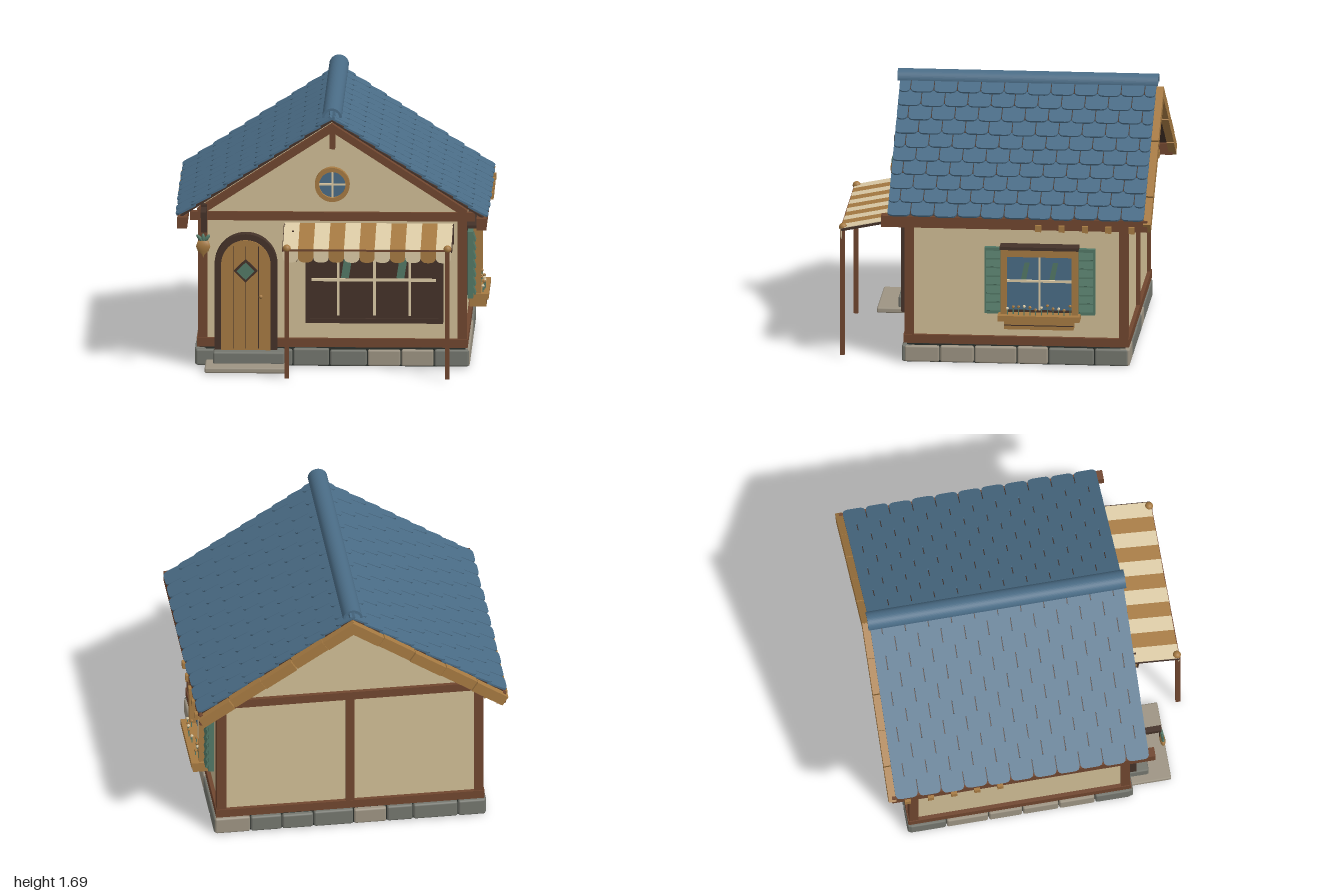
import * as THREE from 'three';
import { RoundedBoxGeometry } from 'three/addons/geometries/RoundedBoxGeometry.js';
import { mergeGeometries } from 'three/addons/utils/BufferGeometryUtils.js';

const mat = (name, color, side = THREE.FrontSide) => {
  const m = new THREE.MeshStandardMaterial({ color, side });
  m.name = name;
  return m;
};
const M = {
  plaster: mat('plaster', 0xd0bd95), beam: mat('brown beam', 0x70462f), wood: mat('golden wood', 0xa67a42),
  dark: mat('dark wood', 0x443229), stone: mat('grey stone', 0x74766e), pale: mat('pale stone', 0x9d9483),
  blue: mat('slate blue', 0x4a6c86), green: mat('green', 0x527866), cream: mat('cream', 0xdccba6),
  base: mat('charcoal', 0x2a2f2b),
};
const SLOPE = Math.atan(0.65), C = Math.cos(SLOPE), S = Math.sin(SLOPE);
const ROOF_Z = -0.14, ROOF_LEN = 1.63;

let seed = 7;
const rnd = () => (seed = (seed * 16807) % 2147483647) / 2147483647;

function add(parent, name, geo, m, x = 0, y = 0, z = 0) {
  const mesh = new THREE.Mesh(geo, m);
  mesh.name = name;
  mesh.position.set(x, y, z);
  parent.add(mesh);
  return mesh;
}
// box given by its min and max on each axis
const box = (p, name, m, x0, x1, y0, y1, z0, z1) =>
  add(p, name, new THREE.BoxGeometry(x1 - x0, y1 - y0, z1 - z0), m, (x0 + x1) / 2, (y0 + y1) / 2, (z0 + z1) / 2);
const extrude = (shape, depth, curveSegments = 12) =>
  new THREE.ExtrudeGeometry(shape, { depth, bevelEnabled: false, curveSegments });
const poly = pts => new THREE.Shape(pts.map(p => new THREE.Vector2(...p)));
const group = (parent, name) => {
  const g = new THREE.Group();
  g.name = name;
  parent.add(g);
  return g;
};
// board lying along a roof slope, its top edge falling from the given apex height
function slopeBoard(p, name, m, side, from, len, thick, apex, z0, z1) {
  const s = from + len / 2;
  const b = add(p, name, new THREE.BoxGeometry(len, thick, z1 - z0), m,
    side * (s * C - thick / 2 * S), apex - s * S - thick / 2 * C, (z0 + z1) / 2);
  b.rotation.z = -side * SLOPE;
}
const archShape = (r, spring, bottom) => {
  const s = new THREE.Shape();
  s.moveTo(-r, bottom);
  s.lineTo(r, bottom);
  s.lineTo(r, spring);
  s.absarc(0, spring, r, 0, Math.PI, false);
  return s;
};

function foundation(root) {
  const g = group(root, 'foundation');
  box(g, 'foundationCore', M.base, -0.84, 0.84, 0.005, 0.125, -0.825, 0.56);
  const row = (len, place) => {
    const n = Math.round(len / 0.22), cuts = [0];
    for (let i = 1; i < n; i++) cuts.push((i + (rnd() - 0.5) * 0.35) * len / n);
    cuts.push(len);
    for (let i = 0; i < n; i++) {
      const w = cuts[i + 1] - cuts[i], h = 0.1 + rnd() * 0.012;
      const st = add(g, 'foundationStone', new RoundedBoxGeometry(w - 0.006, h, 0.07, 1, 0.012), rnd() < 0.4 ? M.pale : M.stone);
      place(st, (cuts[i] + cuts[i + 1]) / 2 - len / 2, 0.01 + h / 2);
    }
  };
  for (const s of [-1, 1]) {
    row(1.73, (st, u, y) => st.position.set(u, y, s > 0 ? 0.555 : -0.82));
    row(1.42, (st, u, y) => { st.position.set(s * 0.833, y, u - 0.135); st.rotation.y = Math.PI / 2; });
  }
  add(g, 'upperStep', new RoundedBoxGeometry(0.45, 0.08, 0.15, 1, 0.012), M.stone, -0.525, 0.08, 0.635);
  add(g, 'lowerStep', new RoundedBoxGeometry(0.52, 0.035, 0.28, 1, 0.01), M.pale, -0.54, 0.03, 0.705);
}

function walls(root) {
  const g = group(root, 'walls');
  add(g, 'plasterWalls', extrude(poly([[-0.83, 0.12], [0.83, 0.12], [0.83, 1], [0, 1.54], [-0.83, 1]]), 1.38), M.plaster, 0, 0, -0.825);
  for (const s of [-1, 1]) {
    for (const z of [-0.815, 0.543]) box(g, 'cornerPost', M.beam, s * 0.82 - 0.03, s * 0.82 + 0.03, 0.13, 1, z - 0.029, z + 0.029);
    box(g, 'sideSill', M.beam, s * 0.82 - 0.035, s * 0.82 + 0.035, 0.13, 0.185, -0.845, 0.575);
    box(g, 'sideTopBeam', M.beam, s * 0.82 - 0.025, s * 0.82 + 0.025, 0.94, 1, -0.845, 0.575);
    for (const [z0, z1] of [[0.53, 0.585], [-0.85, -0.8]]) slopeBoard(g, 'gableTrim', M.beam, s, 0, 1.02, 0.045, 1.57, z0, z1);
  }
  for (const [z0, z1] of [[0.53, 0.58], [-0.85, -0.8]]) {
    box(g, 'endSill', M.beam, -0.855, 0.855, 0.13, 0.185, z0, z1);
    box(g, 'tieBeam', M.beam, -0.9, 0.9, 0.945, 1, z0, z1);
  }
  box(g, 'backMiddlePost', M.beam, -0.028, 0.028, 0.18, 0.95, -0.848, -0.8);
  box(g, 'kingPost', M.beam, -0.018, 0.018, 1.41, 1.54, 0.55, 0.595);
}

// one slate with rounded lower corners
function slateGeometry(w, len) {
  const r = 0.035, s = new THREE.Shape();
  s.moveTo(-w / 2, len);
  s.lineTo(-w / 2, r);
  s.quadraticCurveTo(-w / 2, 0, -w / 2 + r, 0);
  s.lineTo(w / 2 - r, 0);
  s.quadraticCurveTo(w / 2, 0, w / 2, r);
  s.lineTo(w / 2, len);
  return extrude(s, 0.012, 4);
}

function roof(root) {
  const g = group(root, 'roof');
  const rows = 10, cols = 11, pitch = 0.117, cw = ROOF_LEN / cols;
  const basis = new THREE.Matrix4().makeBasis(new THREE.Vector3(0, 0, -1), new THREE.Vector3(-C, S, 0), new THREE.Vector3(S, C, 0));
  const parts = [];
  for (let r = 0; r < rows; r++) {
    const odd = r % 2;
    for (let c = 0; c < cols + odd; c++) {
      const half = odd && (c === 0 || c === cols);
      const u = half ? (c ? 1 : -1) * (ROOF_LEN / 2 - cw / 4) : (c + 0.5 - odd / 2) * cw - ROOF_LEN / 2;
      const geo = slateGeometry((half ? cw / 2 : cw) - 0.006, Math.min(0.14, 0.02 + pitch * (rows - r)));
      geo.rotateX(-0.09);
      const d = 1.165 - r * pitch - (rnd() - 0.5) * 0.008;
      geo.translate(u, 0, 0.012);
      geo.applyMatrix4(basis);
      geo.translate(d * C, 1.613 - d * S, 0);
      parts.push(geo);
    }
  }
  const slates = mergeGeometries(parts);
  for (const s of [-1, 1]) {
    const m = add(g, 'slates', slates, M.blue, 0, 0, ROOF_Z);
    if (s < 0) m.rotation.y = Math.PI;
    slopeBoard(g, 'roofDeck', M.dark, s, 0, 1.155, 0.01, 1.613, -0.95, 0.668);
    // rear barge boards in short lengths
    for (let i = 0; i < 5; i++) slopeBoard(g, 'bargeBoard', M.wood, s, i * 0.236 + 0.002, 0.231, 0.07, 1.612 + (i % 2) * 0.006, -0.997, -0.95);
    box(g, 'eaveBeam', M.beam, s * 0.945 - 0.031, s * 0.945 + 0.031, 0.917, 0.99, -0.975, 0.713);
    for (let i = 0; i < 5; i++) {
      const z = -0.285 - i * 0.148;
      box(g, 'rafterTail', M.wood, s * 0.92 - 0.075, s * 0.92 + 0.075, 0.91, 0.952, z - 0.019, z + 0.019);
    }
  }
  const cap = new THREE.Shape();
  cap.absarc(0, 0, 0.062, 0, Math.PI, false);
  cap.absarc(0, 0, 0.047, Math.PI, 0, true);
  add(g, 'ridgeCap', extrude(cap, 1.652), M.blue, 0, 1.63, -0.966);
}

function door(root) {
  const g = group(root, 'door');
  g.position.x = -0.545;
  const surround = archShape(0.198, 0.668, 0.115);
  surround.holes.push(archShape(0.156, 0.672, 0.116));
  add(g, 'doorSurround', extrude(surround, 0.08), M.dark, 0, 0, 0.55);
  add(g, 'doorLeaf', extrude(archShape(0.156, 0.672, 0.115), 0.075), M.wood, 0, 0, 0.565);
  for (const x of [-0.08, 0, 0.08]) box(g, 'plankGap', M.dark, x - 0.002, x + 0.002, 0.13, 0.79, 0.635, 0.642);
  for (const [w, z, m, n] of [[0.105, 0.65, M.dark, 'diamondFrame'], [0.08, 0.656, M.green, 'diamondPane']]) {
    add(g, n, new THREE.BoxGeometry(w, w, 0.03), m, 0, 0.635, z).rotation.z = Math.PI / 4;
  }
  add(g, 'doorKnob', new THREE.SphereGeometry(0.013, 12, 8), M.wood, 0.095, 0.47, 0.665);
}

function shopWindow(root) {
  const g = group(root, 'shopWindow');
  box(g, 'shopPane', M.dark, -0.17, 0.7, 0.29, 0.9, 0.55, 0.59);
  for (const [a, b, c, d] of [[-0.17, 0.7, 0.29, 0.32], [-0.17, 0.7, 0.87, 0.9], [-0.17, -0.14, 0.32, 0.87], [0.67, 0.7, 0.32, 0.87]])
    box(g, 'shopFrame', M.dark, a, b, c, d, 0.58, 0.607);
  box(g, 'glazingBar', M.cream, -0.13, 0.655, 0.56, 0.577, 0.585, 0.605);
  for (const x of [0.037, 0.267, 0.49]) box(g, 'glazingBar', M.cream, x - 0.008, x + 0.008, 0.34, 0.87, 0.585, 0.603);
  for (const x of [0.09, 0.44]) add(g, 'glint', extrude(poly([[-0.035, -0.065], [0.015, -0.065], [0.035, 0.065], [-0.015, 0.065]]), 0.005), M.green, x, 0.645, 0.59);
}

function awning(root) {
  const g = group(root, 'awning');
  const n = 11, w = 1.064 / n, x0 = -0.302, top = [0.57, 0.925], low = [0.982, 0.842];
  const len = Math.hypot(low[0] - top[0], low[1] - top[1]), tilt = Math.atan2(top[1] - low[1], low[0] - top[0]);
  const flap = new THREE.Shape();
  flap.moveTo(-w / 2, 0);
  flap.lineTo(-w / 2, -0.05);
  flap.quadraticCurveTo(-w / 2, -0.085, 0, -0.085);
  flap.quadraticCurveTo(w / 2, -0.085, w / 2, -0.05);
  flap.lineTo(w / 2, 0);
  const flapGeo = extrude(flap, 0.008, 6);
  const panel = (name, width, thick, m, x, dy) => {
    add(g, name, new THREE.BoxGeometry(width, thick, len), m, x, (top[1] + low[1]) / 2 + dy, (top[0] + low[0]) / 2).rotation.x = tilt;
  };
  for (let i = 0; i < n; i++) {
    const x = x0 + (i + 0.5) * w, m = i % 2 ? M.wood : M.cream;
    panel('awningStripe', w, 0.009, m, x, 0);
    add(g, 'awningFlap', flapGeo, m, x, low[1] + 0.003, 0.977);
  }
  for (const x of [-0.3, 0.762]) {
    panel('awningArm', 0.012, 0.016, M.dark, x, -0.008);
    box(g, 'awningBracket', M.dark, x - 0.006, x + 0.006, 0.8, 0.925, 0.55, 0.6);
  }
  for (const x of [-0.277, 0.738]) {
    box(g, 'awningPost', M.beam, x - 0.014, x + 0.014, 0.012, 0.84, 0.962, 0.992);
    add(g, 'postFinial', new THREE.SphereGeometry(0.026, 14, 10), M.wood, x, 0.847, 0.972);
  }
  box(g, 'awningRail', M.beam, -0.302, 0.762, 0.833, 0.845, 0.972, 0.988);
}

function roundWindow(root) {
  const g = group(root, 'roundWindow');
  g.position.set(0, 1.18, 0.555);
  const ring = new THREE.Shape().absarc(0, 0, 0.11, 0, Math.PI * 2, false);
  ring.holes.push(new THREE.Path().absarc(0, 0, 0.083, 0, Math.PI * 2, true));
  add(g, 'roundFrame', extrude(ring, 0.045, 20), M.wood);
  add(g, 'roundPane', new THREE.CylinderGeometry(0.085, 0.085, 0.02, 28), M.blue, 0, 0, 0.008).rotation.x = Math.PI / 2;
  box(g, 'roundBar', M.cream, -0.083, 0.083, -0.006, 0.006, 0.015, 0.03);
  box(g, 'roundBar', M.cream, -0.006, 0.006, -0.083, 0.083, 0.015, 0.03);
}

function sideWindow(root) {
  const g = group(root, 'sideWindow');
  g.position.set(0.83, 0, -0.285);
  g.rotation.y = Math.PI / 2;
  box(g, 'windowBack', M.dark, -0.25, 0.25, 0.34, 0.79, -0.01, 0.035);
  box(g, 'windowHead', M.dark, -0.25, 0.25, 0.77, 0.79, 0, 0.1);
  box(g, 'windowPane', M.blue, -0.21, 0.21, 0.37, 0.73, 0.03, 0.05);
  for (const s of [-1, 1]) {
    box(g, 'windowJamb', M.wood, s * 0.225 - 0.02, s * 0.225 + 0.02, 0.35, 0.77, 0.02, 0.09);
    const x = s * 0.295;
    box(g, 'shutter', M.green, x - 0.055, x + 0.055, 0.34, 0.77, 0.01, 0.045);
    for (let i = 0; i < 7; i++) {
      const y = 0.385 + i * 0.057;
      add(g, 'shutterSlat', new THREE.BoxGeometry(0.09, 0.046, 0.012), M.green, x, y, 0.05).rotation.x = -0.3;
    }
    add(g, 'glint', extrude(poly([[-0.028, -0.055], [0.005, -0.055], [0.028, 0.055], [-0.005, 0.055]]), 0.004), M.green, s * 0.09, 0.625, 0.05);
  }
  box(g, 'windowLintel', M.wood, -0.245, 0.245, 0.725, 0.77, 0.02, 0.095);
  box(g, 'windowBar', M.cream, -0.205, 0.205, 0.553, 0.567, 0.05, 0.065);
  box(g, 'windowBar', M.cream, -0.007, 0.007, 0.37, 0.73, 0.05, 0.065);
  // flower box
  box(g, 'boxRim', M.wood, -0.26, 0.26, 0.315, 0.35, 0.01, 0.14);
  box(g, 'boxBody', M.wood, -0.22, 0.22, 0.26, 0.315, 0.02, 0.125);
  box(g, 'boxGroove', M.dark, -0.22, 0.22, 0.284, 0.29, 0.122, 0.127);
  for (let i = 0; i < 12; i++) {
    const x = -0.2 + i * 0.036, y = 0.385 + rnd() * 0.025, z = 0.08 + rnd() * 0.035;
    box(g, 'flowerStem', M.green, x - 0.003, x + 0.003, 0.345, y, z - 0.003, z + 0.003);
    add(g, 'flower', new THREE.IcosahedronGeometry(0.011, 0), i % 3 ? M.wood : M.cream, x, y, z);
  }
}

function hangings(root) {
  // root vegetable sign under a bracket
  const sign = group(root, 'hangingSign');
  sign.position.x = -0.81;
  box(sign, 'signArm', M.dark, -0.018, 0.018, 1, 1.035, 0.55, 0.778);
  box(sign, 'signPlate', M.dark, -0.018, 0.018, 0.87, 1.05, 0.55, 0.6);
  box(sign, 'signCord', M.dark, -0.003, 0.003, 0.88, 1.01, 0.765, 0.771);
  const root2 = [[0, -0.075], [0.008, -0.055], [0.035, -0.03], [0.046, 0], [0.036, 0.03], [0, 0.045]].map(p => new THREE.Vector2(...p));
  add(sign, 'signBulb', new THREE.LatheGeometry(root2, 18), M.wood, 0, 0.82, 0.785).scale.z = 0.4;
  for (const a of [-0.7, 0, 0.7]) {
    const leaf = add(sign, 'signLeaf', new THREE.SphereGeometry(0.03, 10, 8), M.green, -Math.sin(a) * 0.035, 0.872, 0.785);
    leaf.scale.set(0.4, 1, 0.35);
    leaf.rotation.z = a;
  }
  // lantern beside the awning
  const lamp = group(root, 'lantern');
  lamp.position.set(-0.245, 0, 0.705);
  box(lamp, 'lanternArm', M.dark, -0.006, 0.006, 0.893, 0.905, -0.14, 0.01);
  box(lamp, 'lanternHook', M.dark, -0.003, 0.003, 0.86, 0.895, -0.003, 0.003);
  add(lamp, 'lanternCap', new THREE.CylinderGeometry(0.008, 0.047, 0.045, 6), M.dark, 0, 0.845, 0);
  add(lamp, 'lanternGlass', new THREE.CylinderGeometry(0.035, 0.027, 0.1, 6), M.wood, 0, 0.773, 0);
  for (let i = 0; i < 6; i++) {
    const a = i * Math.PI / 3;
    box(lamp, 'lanternBar', M.dark, Math.sin(a) * 0.032 - 0.004, Math.sin(a) * 0.032 + 0.004, 0.725, 0.825, Math.cos(a) * 0.032 - 0.004, Math.cos(a) * 0.032 + 0.004);
  }
  add(lamp, 'lanternBase', new THREE.CylinderGeometry(0.036, 0.03, 0.015, 6), M.dark, 0, 0.72, 0);
}

export function createModel() {
  const root = new THREE.Group();
  root.name = 'shopCottage';
  for (const build of [foundation, walls, roof, door, shopWindow, awning, roundWindow, sideWindow, hangings]) build(root);
  return root;
}
